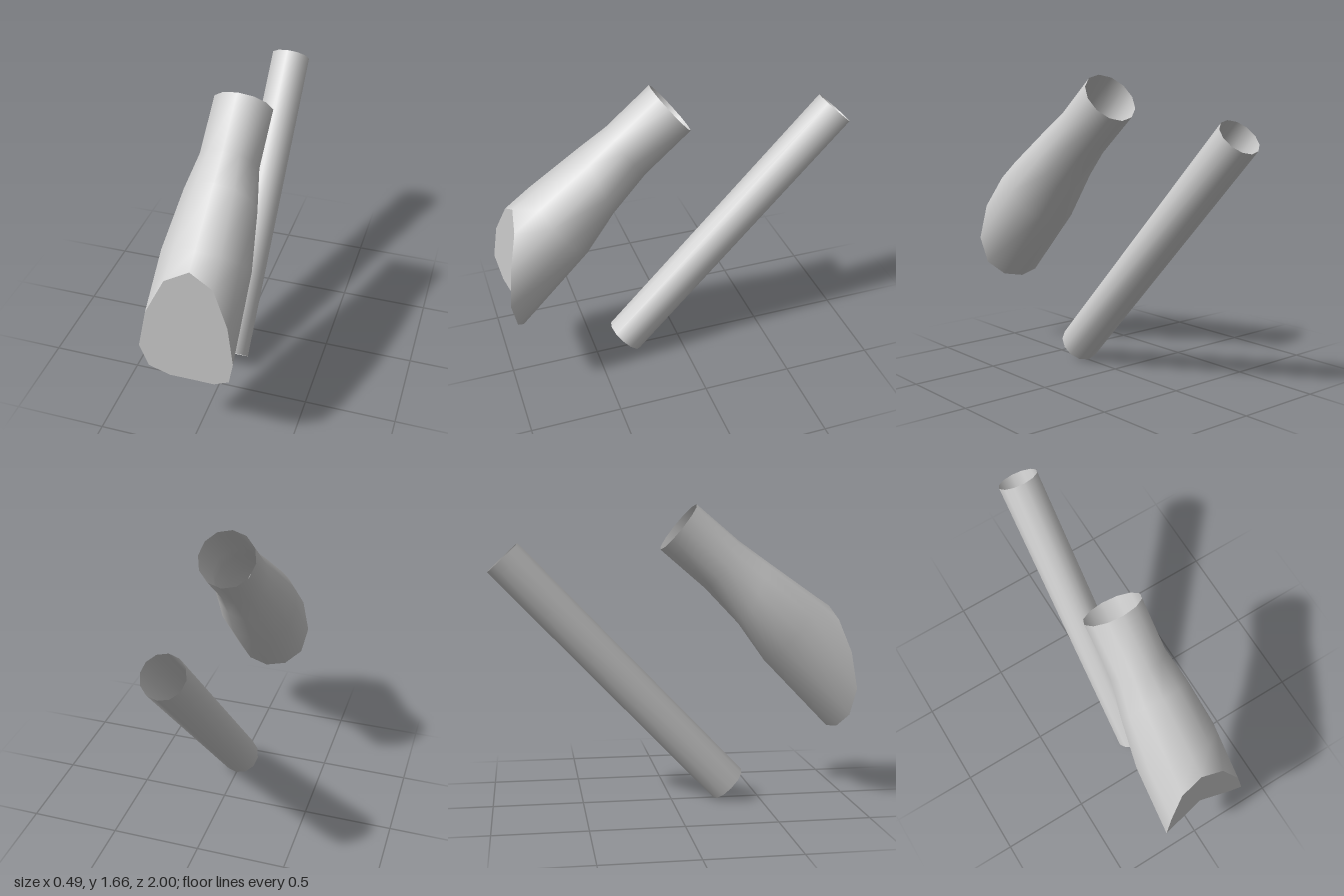
import * as THREE from 'three';

const SIDES = 12;

// Ring of [x, y, z] points running from its top point round by +x
function ring(top, bottom, halfWidth) {
  const pts = [];
  for (let j = 0; j < SIDES; j++) {
    const a = (j / SIDES) * Math.PI * 2;
    const t = (1 - Math.cos(a)) / 2;
    pts.push([
      halfWidth * Math.sin(a),
      top[1] + (bottom[1] - top[1]) * t,
      top[0] + (bottom[0] - top[0]) * t,
    ]);
  }
  return pts;
}

// Smooth open skin joining consecutive rings
function loft(rings) {
  const index = [];
  for (let i = 0; i < rings.length - 1; i++) {
    for (let j = 0; j < SIDES; j++) {
      const k = (j + 1) % SIDES;
      const a = i * SIDES + j, b = i * SIDES + k;
      index.push(a, a + SIDES, b, b, a + SIDES, b + SIDES);
    }
  }
  const geo = new THREE.BufferGeometry();
  geo.setAttribute('position', new THREE.Float32BufferAttribute(rings.flat(2), 3));
  geo.setIndex(index);
  geo.computeVertexNormals();
  return geo;
}

// Fan that closes a ring around its middle point
function fan(rim, centre) {
  const index = [];
  for (let j = 0; j < SIDES; j++) index.push(0, 1 + ((j + 1) % SIDES), 1 + j);
  const geo = new THREE.BufferGeometry();
  geo.setAttribute('position', new THREE.Float32BufferAttribute([centre, ...rim].flat(), 3));
  geo.setIndex(index);
  // the end face is shaded as an inward-facing surface
  const normals = Array.from({ length: SIDES + 1 }, () => [0, 0, -1]).flat();
  geo.setAttribute('normal', new THREE.Float32BufferAttribute(normals, 3));
  return geo;
}

export function createModel() {
  const model = new THREE.Group();
  model.name = 'pipes';
  const grey = new THREE.MeshStandardMaterial({ color: 0xcccccc, side: THREE.DoubleSide });
  grey.name = 'light grey';

  const add = (name, geo) => {
    const mesh = new THREE.Mesh(geo, grey);
    mesh.name = name;
    model.add(mesh);
  };

  // Curved front rim: right half listed top to bottom, then mirrored
  const half = [
    [0, 1.093, 0.905], [0.125, 1.027, 0.925], [0.21, 0.855, 0.975], [0.244, 0.655, 1],
    [0.212, 0.503, 0.97], [0.118, 0.422, 0.927], [0, 0.4, 0.905],
  ];
  const rim = [...half, ...half.slice(1, 6).reverse().map(([x, y, z]) => [-x, y, z])];

  // Flared nozzle, from the open upper mouth to the front rim (z, y pairs)
  add('flaredNozzle', loft([
    ring([0.14, 1.662], [-0.06, 1.415], 0.16),
    ring([0.38, 1.46], [0.19, 1.2], 0.16),
    ring([0.52, 1.36], [0.38, 1.0], 0.2),
    ring([0.81, 1.157], [0.53, 0.79], 0.238),
    rim,
  ]));

  // Slightly hollow end face
  add('nozzleEndFace', fan(rim, [0, 0.7, 0.95]));

  // Long straight tube, open at both ends
  add('straightTube', loft([
    ring([-0.835, 1.455], [-1, 1.3], 0.113),
    ring([0.405, 0.16], [0.243, 0], 0.113),
  ]));

  return model;
}
